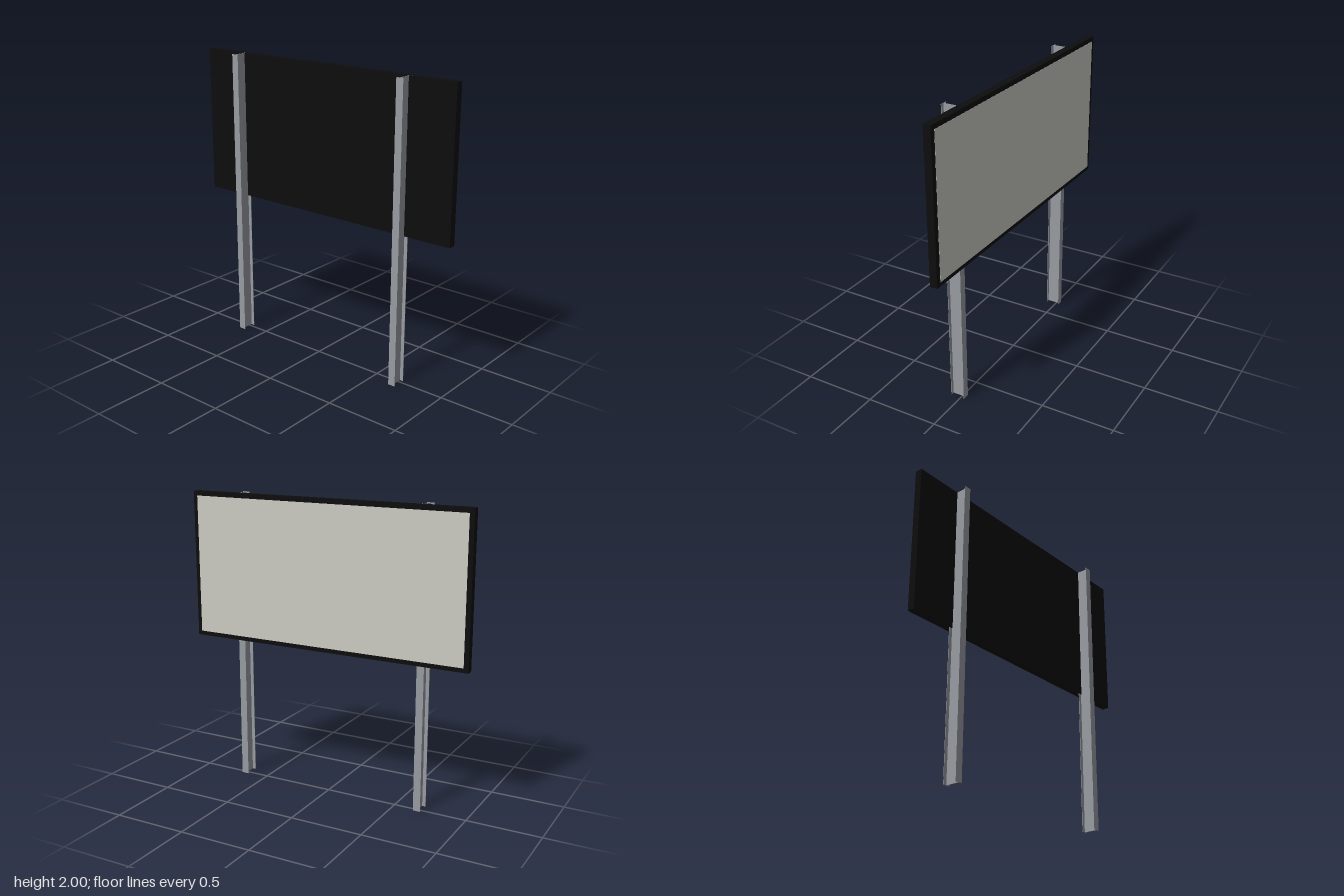
import * as THREE from 'three';

const black = new THREE.MeshStandardMaterial({ color: 0x0d0d0d });
black.name = 'black frame';
const steel = new THREE.MeshStandardMaterial({ color: 0x989ba0 });
steel.name = 'grey steel';
const board = new THREE.MeshStandardMaterial({ color: 0xccccc4 });
board.name = 'pale board';

function box(name, material, size, position) {
  const mesh = new THREE.Mesh(new THREE.BoxGeometry(...size), material);
  mesh.name = name;
  mesh.position.set(...position);
  return mesh;
}

// I-beam section, extruded upward; its flanges face front and back
function beamGeometry(width, depth, wall, height) {
  const w = width / 2, d = depth / 2, t = wall / 2, f = d - wall;
  const section = new THREE.Shape([
    [-w, -d], [w, -d], [w, -f], [t, -f], [t, f], [w, f],
    [w, d], [-w, d], [-w, f], [-t, f], [-t, -f], [-w, -f],
  ].map(([x, y]) => new THREE.Vector2(x, y)));
  const geometry = new THREE.ExtrudeGeometry(section, { depth: height, bevelEnabled: false });
  return geometry.rotateX(-Math.PI / 2);
}

export function createModel() {
  const group = new THREE.Group();
  group.name = 'billboard';

  // Sign panel: black case, slightly raised step and pale display face on the back
  const sign = new THREE.Group();
  sign.name = 'signPanel';
  sign.add(
    box('signCase', black, [2, 1, 0.05], [0, 1.5, -0.043]),
    box('raisedStep', black, [1.94, 0.94, 0.003], [0, 1.5, -0.0695]),
    box('displayFace', board, [1.94, 0.94, 0.001], [0, 1.5, -0.0715]),
  );
  group.add(sign);

  // Two steel posts, their rear flanges let into the case
  const beam = beamGeometry(0.05, 0.097, 0.003, 2);
  for (const side of [-1, 1]) {
    const post = new THREE.Mesh(beam, steel);
    post.name = side > 0 ? 'leftPost' : 'rightPost';
    post.position.set(side * 0.667, 0, 0.0235);
    group.add(post);
  }
  return group;
}
